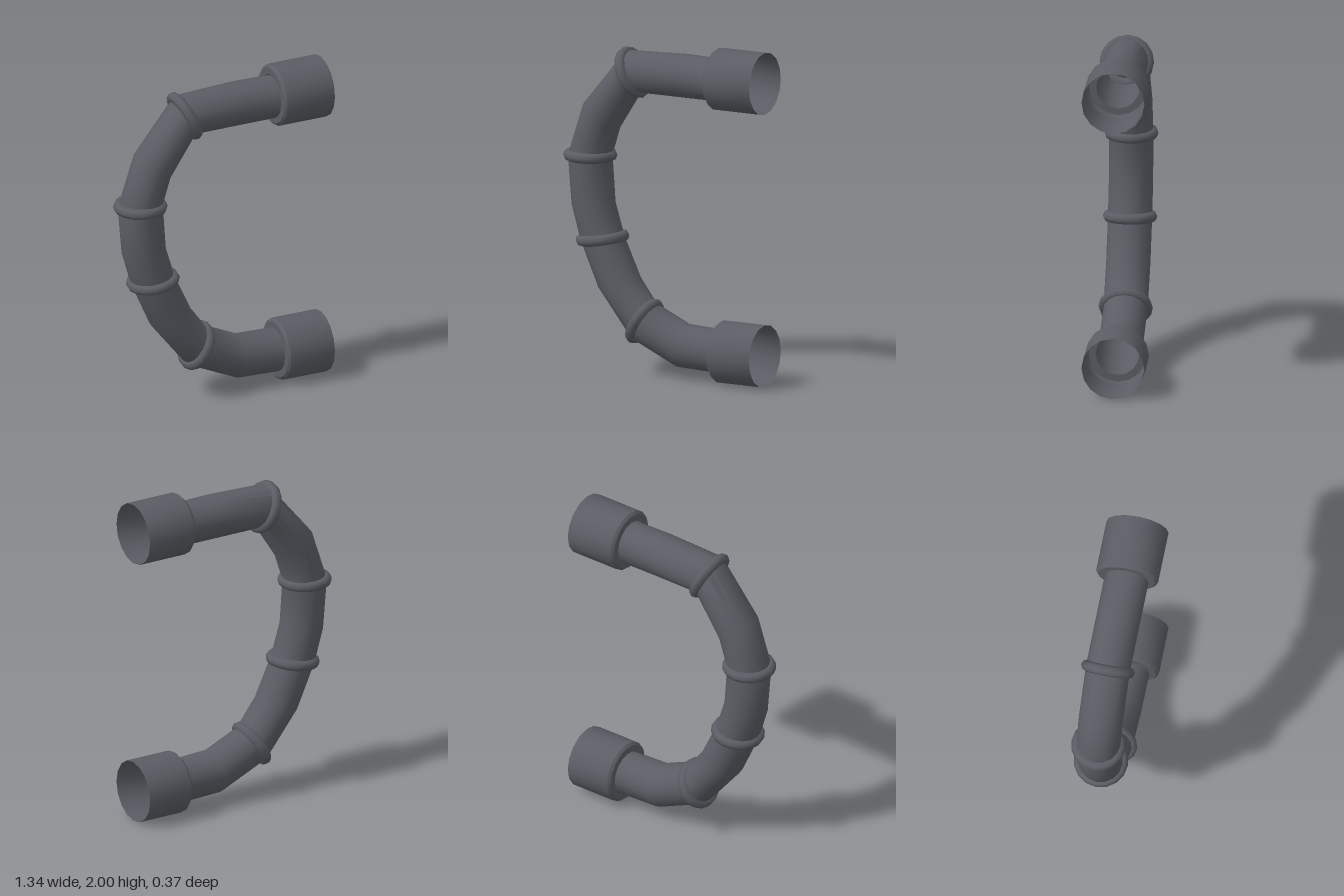
import * as THREE from 'three';
import { toCreasedNormals } from 'three/addons/utils/BufferGeometryUtils.js';

const SIDES = 16;
const material = new THREE.MeshStandardMaterial({ color: 0x5a5d64, side: THREE.DoubleSide });

// Skin elliptical sections; each is [outer x, outer y, inner x, inner y, depth radius]
function loft(sections) {
  const positions = [], index = [];
  sections.forEach(([ox, oy, ix, iy, rz], s) => {
    for (let i = 0; i < SIDES; i++) {
      const a = (i / SIDES) * Math.PI * 2, c = Math.cos(a) / 2;
      positions.push((ox + ix) / 2 + (ox - ix) * c, (oy + iy) / 2 + (oy - iy) * c, rz * Math.sin(a));
      if (s === 0) continue;
      const j = (i + 1) % SIDES, p = (s - 1) * SIDES, q = s * SIDES;
      index.push(p + i, p + j, q + i, p + j, q + j, q + i);
    }
  });
  const geometry = new THREE.BufferGeometry();
  geometry.setAttribute('position', new THREE.Float32BufferAttribute(positions, 3));
  geometry.setIndex(index);
  return toCreasedNormals(geometry, 0.7);
}

export function createModel() {
  const group = new THREE.Group();
  const add = (name, geometry) => {
    const mesh = new THREE.Mesh(geometry, material);
    mesh.name = name;
    group.add(mesh);
    return mesh;
  };

  // Bent pipe, from the upper end to the lower end, cut at its mitred bends
  const R = 0.13;
  add('pipe', loft([
    [0.35, 1.935, 0.35, 1.68, R],
    [0.12, 1.94, 0.12, 1.68, R],
    [-0.26, 1.925, -0.18, 1.68, R],
    [-0.54, 1.59, -0.33, 1.44, R],
    [-0.645, 1.27, -0.38, 1.28, R],
    [-0.62, 0.98, -0.36, 1.0, R],
    [-0.56, 0.77, -0.3, 0.805, R],
    [-0.44, 0.5, -0.19, 0.57, R],
    [-0.21, 0.21, -0.085, 0.43, R],
    [0.1, 0.07, 0.135, 0.33, R],
    [0.37, 0.06, 0.37, 0.32, R],
  ]));

  // Rounded collars: centre x, centre y, tilt of the collar plane, in-plane stretch
  const collars = [
    [-0.222, 1.795, -1.15, 1.0],
    [-0.512, 1.275, 0.0, 1.0],
    [-0.43, 0.787, 0.13, 1.0],
    [-0.146, 0.318, 1.06, 0.95],
  ];
  collars.forEach(([x, y, tilt, stretch], i) => {
    const geometry = new THREE.TorusGeometry(0.127, 0.033, 8, SIDES);
    geometry.rotateX(Math.PI / 2).scale(stretch, 1, 1);
    const collar = add(`collar${i + 1}`, geometry);
    collar.position.set(x, y, 0);
    collar.rotation.z = tilt;
  });

  // Open end sockets with a bevelled shoulder
  for (const [name, y, x] of [['upperSocket', 1.815, 0.345], ['lowerSocket', 0.19, 0.37]]) {
    const profile = [[x, 0.128], [x, 0.17], [x + 0.015, 0.185], [0.67, 0.185]];
    add(name, loft(profile.map(([px, r]) => [px, y + r, px, y - r, r])));
  }
  return group;
}
